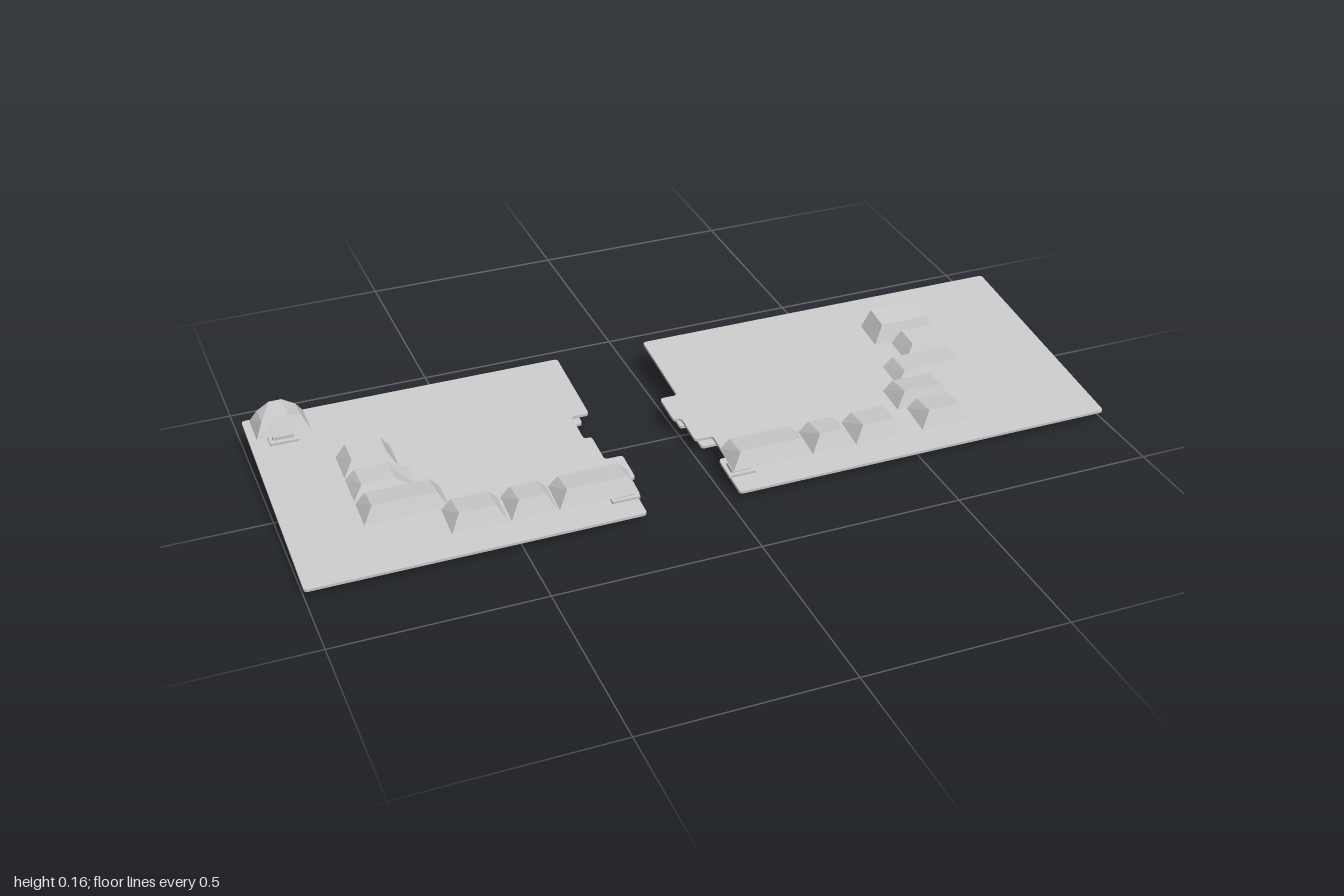
import * as THREE from 'three';

const material = new THREE.MeshStandardMaterial({ color: 0xcccccc, flatShading: true });
const TILT = THREE.MathUtils.degToRad(6);

function add(parent, name, geometry, x = 0, y = 0, z = 0) {
  const mesh = new THREE.Mesh(geometry, material);
  mesh.name = name;
  mesh.position.set(x, y, z);
  parent.add(mesh);
  return mesh;
}

// Polygon with every corner eased by radius r
function roundedShape(points, r) {
  const shape = new THREE.Shape();
  const v = points.map(([x, z]) => new THREE.Vector2(x, -z));
  v.forEach((p, i) => {
    const prev = v[(i + v.length - 1) % v.length], next = v[(i + 1) % v.length];
    const a = p.clone().add(prev.clone().sub(p).setLength(r));
    const b = p.clone().add(next.clone().sub(p).setLength(r));
    if (i === 0) shape.moveTo(a.x, a.y);
    else shape.lineTo(a.x, a.y);
    shape.quadraticCurveTo(p.x, p.y, b.x, b.y);
  });
  shape.closePath();
  return shape;
}

// Thin tilted sheet lying in the x-z plane, y is its underside at z = 0
function addPlate(parent, name, points, y) {
  const geometry = new THREE.ExtrudeGeometry(roundedShape(points, 0.009),
    { depth: 0.007, bevelEnabled: false, curveSegments: 4 });
  geometry.rotateX(-Math.PI / 2 + TILT);
  add(parent, name, geometry, 0, y, 0);
}

// Staggered inner edge shared by both halves: [offset, z start, z end]
const STEPS = [[0, -0.315, -0.08], [-0.045, -0.08, 0.01], [-0.025, 0.01, 0.1],
  [0.02, 0.1, 0.187], [0, 0.187, 0.312]];

function outline(outerX, innerX, zBack, zFront) {
  const points = [[outerX, zFront], [outerX, zBack]];
  STEPS.forEach(([dx, a, b], i) => {
    points.push([innerX + dx, i === 0 ? zBack : a], [innerX + dx, i === 4 ? zFront : b]);
  });
  return points;
}

// Side profile of each row: front bottom, front top, back top, back bottom as [z, y]
const ROWS = {
  1: [[-0.188, 0.11], [-0.201, 0.154], [-0.265, 0.161], [-0.27, 0.116]],
  2: [[-0.076, 0.096], [-0.088, 0.143], [-0.154, 0.152], [-0.158, 0.107]],
  3: [[0.012, 0.087], [-0.001, 0.125], [-0.065, 0.129], [-0.07, 0.096]],
  4: [[0.1, 0.078], [0.088, 0.112], [0.02, 0.112], [0.017, 0.087]],
  5: [[0.188, 0.07], [0.176, 0.111], [0.11, 0.104], [0.108, 0.078]],
  6: [[0.279, 0.06], [0.265, 0.103], [0.197, 0.097], [0.195, 0.073]],
};

// Tapered cap made by reshaping a box; dropFront and dropBack lower the outer top edges
function capGeometry(row, x0, x1, insetL = 0.023, insetR = 0.023, dropFront = 0, dropBack = 0) {
  const geometry = new THREE.BoxGeometry(1, 1, 1, 3, 1, 1);
  const p = geometry.attributes.position;
  for (let i = 0; i < p.count; i++) {
    const u = p.getX(i), top = p.getY(i) > 0, front = p.getZ(i) > 0;
    const [z, y] = ROWS[row][front ? (top ? 1 : 0) : (top ? 2 : 3)];
    const a = top ? x0 + insetL : x0, b = top ? x1 - insetR : x1;
    const drop = top && Math.abs(u) > 0.4 ? (front ? dropFront : dropBack) : 0;
    p.setXYZ(i, a + (b - a) * (u + 0.5), y - drop, z);
  }
  return geometry;
}

// Switch: flange, housing and stem
function addSwitch(parent, x, z, wide) {
  const g = new THREE.Group();
  g.name = 'keySwitch';
  g.position.set(x, 0.059 - z * Math.tan(TILT), z);
  g.rotation.x = TILT;
  add(g, 'switchFlange', new THREE.BoxGeometry(0.068, 0.007, wide ? 0.07 : 0.05), 0, 0.003, 0);
  add(g, 'switchHousing', new THREE.BoxGeometry(0.05, 0.009, wide ? 0.05 : 0.032), 0, 0.011, 0);
  add(g, 'switchStem', new THREE.BoxGeometry(0.034, 0.024, wide ? 0.036 : 0.016), 0, 0.025, 0);
  parent.add(g);
}

// Rear foot: peg with a small block reaching the base sheet
function addFoot(parent, x) {
  const g = new THREE.Group();
  g.name = 'rearFoot';
  g.position.set(x, 0.052, -0.284);
  g.rotation.x = TILT;
  add(g, 'footPad', new THREE.BoxGeometry(0.045, 0.015, 0.034));
  add(g, 'footNeck', new THREE.BoxGeometry(0.025, 0.008, 0.016), 0, 0.01, 0.003);
  parent.add(g);
}

// Keys as [row, x start, x end, left inset, right inset, front drop, back drop]
const HALVES = [
  {
    name: 'rightHandHalf', outer: -1, inner: -0.205, baseOuter: -0.95, baseInner: -0.222,
    feet: [-0.42, -0.84], switches: [[-0.922, -0.232, true], [-0.235, 0.236, false]],
    keys: [[1, -0.987, -0.858, 0.018, 0.018, 0.004, 0.019], [3, -0.83, -0.7],
      [4, -0.83, -0.68, 0.022, 0.05], [5, -0.83, -0.633], [6, -0.655, -0.522],
      [6, -0.516, -0.406], [6, -0.402, -0.21]],
  },
  {
    name: 'leftHandHalf', outer: 1, inner: 0.025, baseOuter: 0.95, baseInner: 0.042,
    feet: [0.65, 0.225], switches: [[0.055, 0.236, false]],
    keys: [[2, 0.564, 0.735], [3, 0.607, 0.735], [4, 0.54, 0.735], [5, 0.495, 0.639],
      [6, 0.024, 0.222], [6, 0.227, 0.334], [6, 0.34, 0.468], [6, 0.516, 0.644]],
  },
];

export function createModel() {
  const model = new THREE.Group();
  model.name = 'splitKeyboard';
  for (const h of HALVES) {
    const half = new THREE.Group();
    half.name = h.name;
    addPlate(half, 'topPlate', outline(h.outer, h.inner, -0.316, 0.316), 0.052);
    addPlate(half, 'basePlate', outline(h.baseOuter, h.baseInner, -0.292, 0.266), 0.0279);
    for (const [row, ...spec] of h.keys) add(half, 'keycap', capGeometry(row, ...spec));
    for (const s of h.switches) addSwitch(half, ...s);
    for (const x of h.feet) addFoot(half, x);
    model.add(half);
  }
  return model;
}
